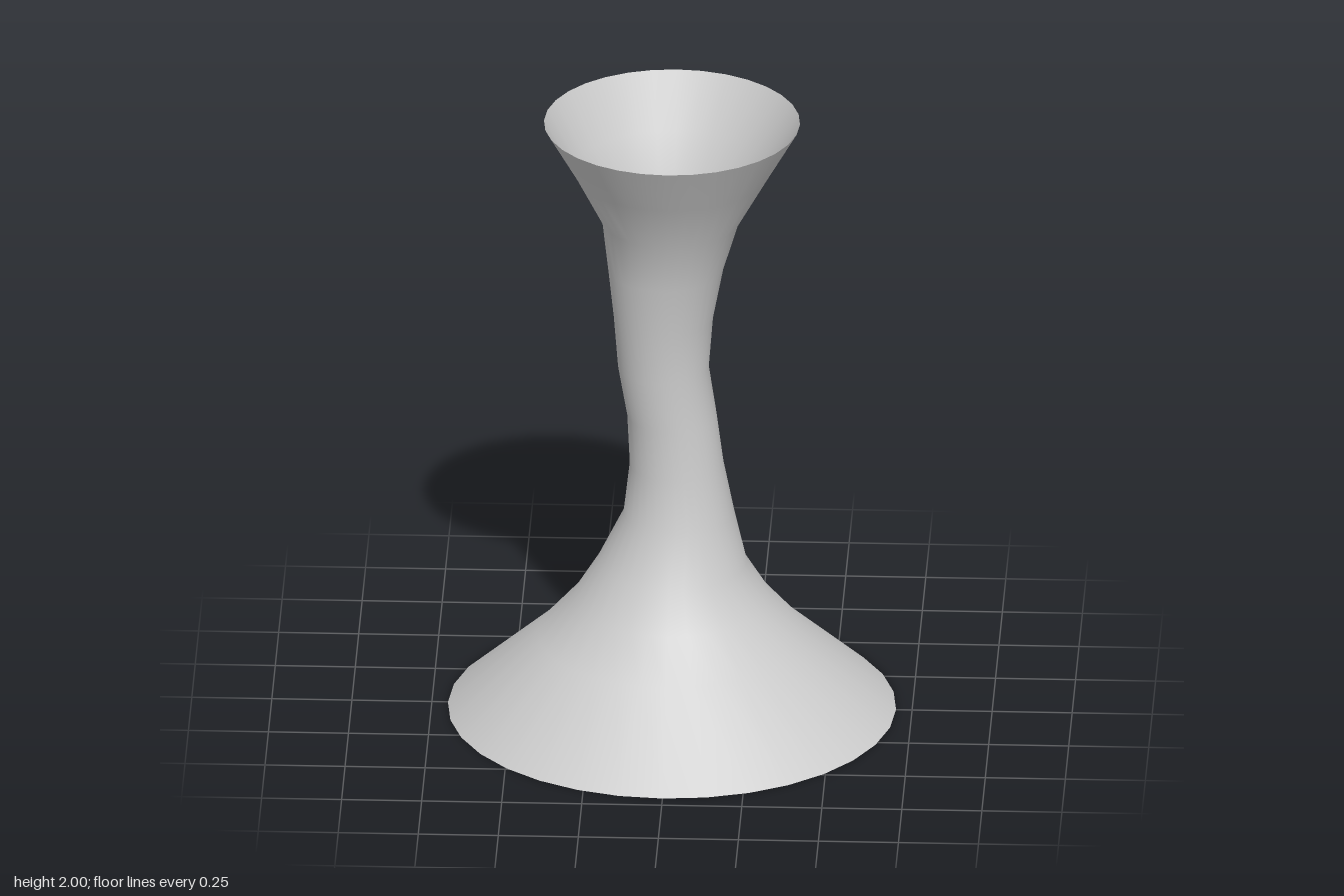
import * as THREE from 'three';
import { mergeVertices } from 'three/addons/utils/BufferGeometryUtils.js';

// Rings from foot to rim: [height, radius, sideways offset of the centre]
const RINGS = [
  [0, 0.7, 0], [0.25, 0.42, 0], [0.375, 0.31, 0], [0.5, 0.233, 0],
  [0.667, 0.173, 0.022], [0.833, 0.147, 0.015], [1, 0.14, 0],
  [1.167, 0.142, -0.027], [1.333, 0.155, -0.027], [1.5, 0.18, -0.02],
  [1.667, 0.215, -0.004], [1.833, 0.304, 0], [2, 0.4, 0],
];

export function createModel() {
  const group = new THREE.Group();
  group.name = 'flaredStand';

  // Turned profile, open at both ends
  const lathe = new THREE.LatheGeometry(RINGS.map(([y, r]) => new THREE.Vector2(r, y)), 32);

  // Sway the stem by shifting each ring along x
  const pos = lathe.attributes.position;
  for (let i = 0; i < pos.count; i++) {
    pos.setX(i, pos.getX(i) + RINGS[i % RINGS.length][2]);
  }

  // Weld the seam so the shading is smooth all round
  lathe.deleteAttribute('uv');
  lathe.deleteAttribute('normal');
  const geometry = mergeVertices(lathe, 1e-4);
  geometry.computeVertexNormals();

  const shell = new THREE.Mesh(
    geometry,
    new THREE.MeshStandardMaterial({ color: 0xcccccc, side: THREE.DoubleSide })
  );
  shell.name = 'flaredShell';
  group.add(shell);
  return group;
}
